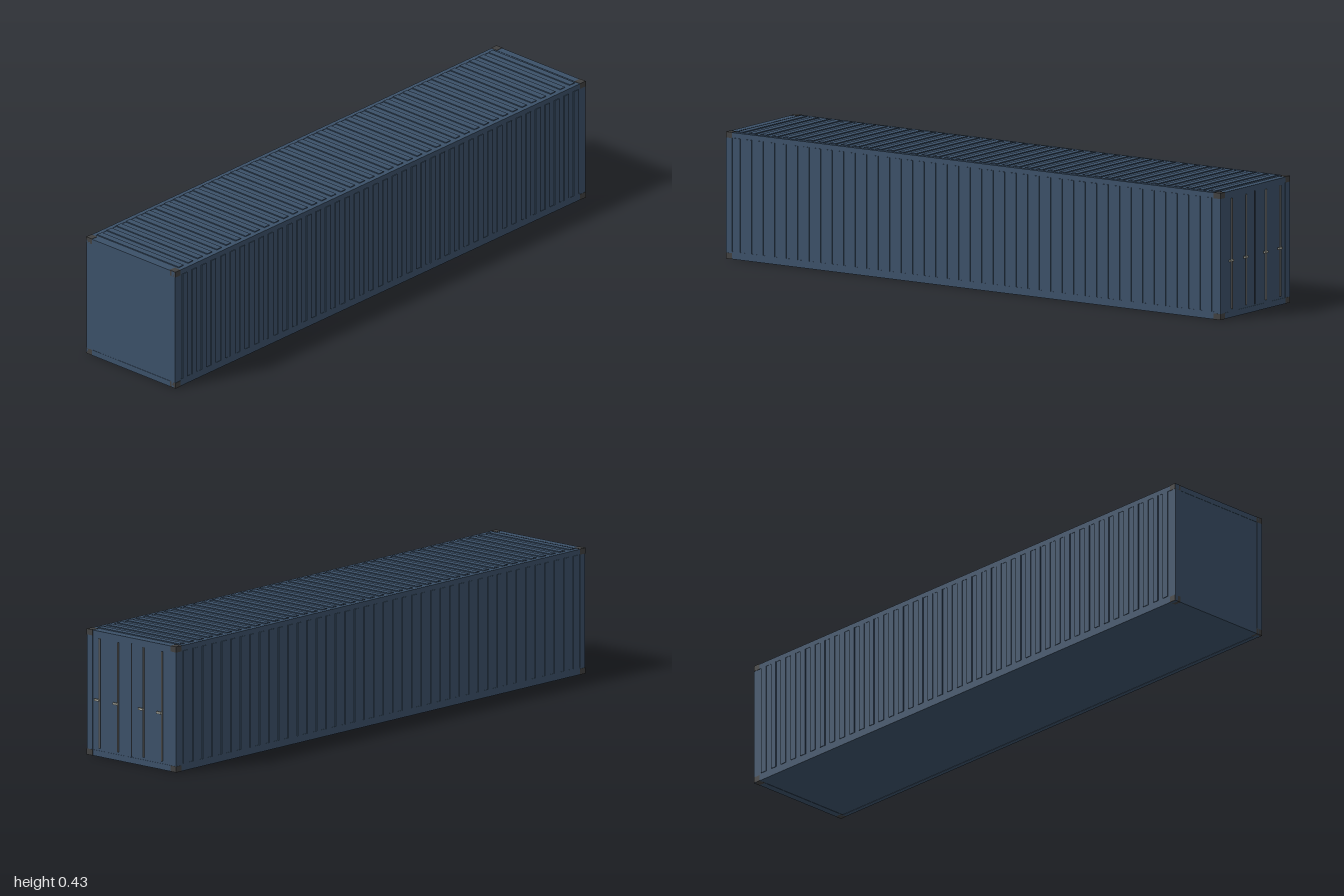
import * as THREE from 'three';

export function createModel() {
  const model = new THREE.Group();
  const paint = new THREE.MeshStandardMaterial({ color: 0x3b5068 });
  const iron = new THREE.MeshStandardMaterial({ color: 0x404040 });
  const steel = new THREE.MeshStandardMaterial({ color: 0x77797a });
  const grip = new THREE.MeshStandardMaterial({ color: 0xa5a69c });
  const seal = new THREE.MeshStandardMaterial({ color: 0x1c2026 });

  // Box given by its limits along each axis
  function box(name, [x0, x1], [y0, y1], [z0, z1], material, parent = model) {
    const mesh = new THREE.Mesh(new THREE.BoxGeometry(x1 - x0, y1 - y0, z1 - z0), material);
    mesh.position.set((x0 + x1) / 2, (y0 + y1) / 2, (z0 + z1) / 2);
    mesh.name = name;
    parent.add(mesh);
    return mesh;
  }
  function group(name) {
    const g = new THREE.Group();
    g.name = name;
    model.add(g);
    return g;
  }

  const back = -1, door = 0.988, top = 0.4235, half = 0.199;

  box('body', [back + 0.001, door - 0.002], [0.001, top - 0.001], [-half + 0.001, half - 0.001], paint);

  // Frame: long rails, end sills and corner posts, just proud of the panels
  const frame = group('frame');
  const castings = group('cornerCastings');
  for (const s of [-1, 1]) {
    const z = s > 0 ? [0.183, half] : [-half, -0.183];
    box('bottomRail', [back, door], [0, 0.025], z, paint, frame);
    box('topRail', [back, door], [0.406, top], z, paint, frame);
    const zPost = s > 0 ? [0.175, half] : [-half, -0.175];
    const zCast = s > 0 ? [0.174, 0.2] : [-0.2, -0.174];
    for (const [x0, x1] of [[back, back + 0.025], [door - 0.025, door]]) {
      box('cornerPost', [x0, x1], [0.02, 0.405], zPost, paint, frame);
      for (const y of [[0, 0.02], [0.405, 0.4245]])
        box('cornerCasting', [x0 - (x0 < 0 ? 0 : 0.001), x1 + (x1 > 0 ? 0.001 : 0)], y, zCast, iron, castings);
    }
  }
  for (const x of [[back, back + 0.025], [door - 0.025, door]]) {
    box('bottomSill', x, [0, 0.02], [-0.175, 0.175], paint, frame);
    box('topHeader', x, [0.405, top], [-0.175, 0.175], paint, frame);
  }

  // Corrugation ribs on both sides and the roof
  const ribs = group('corrugation');
  const count = 42, first = -0.954, last = 0.942;
  for (let i = 0; i < count; i++) {
    const x = first + (last - first) * i / (count - 1);
    const span = [x - 0.0115, x + 0.0115];
    box('sideRib', span, [0.025, 0.406], [half - 0.004, 0.2012], paint, ribs);
    box('sideRib', span, [0.025, 0.406], [-0.2012, -half + 0.004], paint, ribs);
    box('roofRib', span, [top - 0.003, 0.426], [-0.183, 0.183], paint, ribs);
  }

  // Door end: leaves, central seam, lock rods and handles
  const doors = group('doors');
  box('rightDoor', [door - 0.01, door - 0.001], [0.02, 0.405], [-0.174, -0.001], paint, doors);
  box('leftDoor', [door - 0.01, door - 0.001], [0.02, 0.405], [0.001, 0.174], paint, doors);
  box('doorSeam', [door - 0.004, door + 0.001], [0.025, 0.404], [-0.0015, 0.0015], seal, doors);
  for (const z of [-0.139, -0.057, 0.057, 0.139]) {
    const rod = new THREE.Mesh(new THREE.CylinderGeometry(0.0032, 0.0032, 0.37, 10), steel);
    rod.name = 'lockRod';
    rod.position.set(0.9925, 0.215, z);
    doors.add(rod);
    box('handle', [0.994, 1], [0.189, 0.196], [z - 0.002, z + 0.018], grip, doors);
  }
  return model;
}
